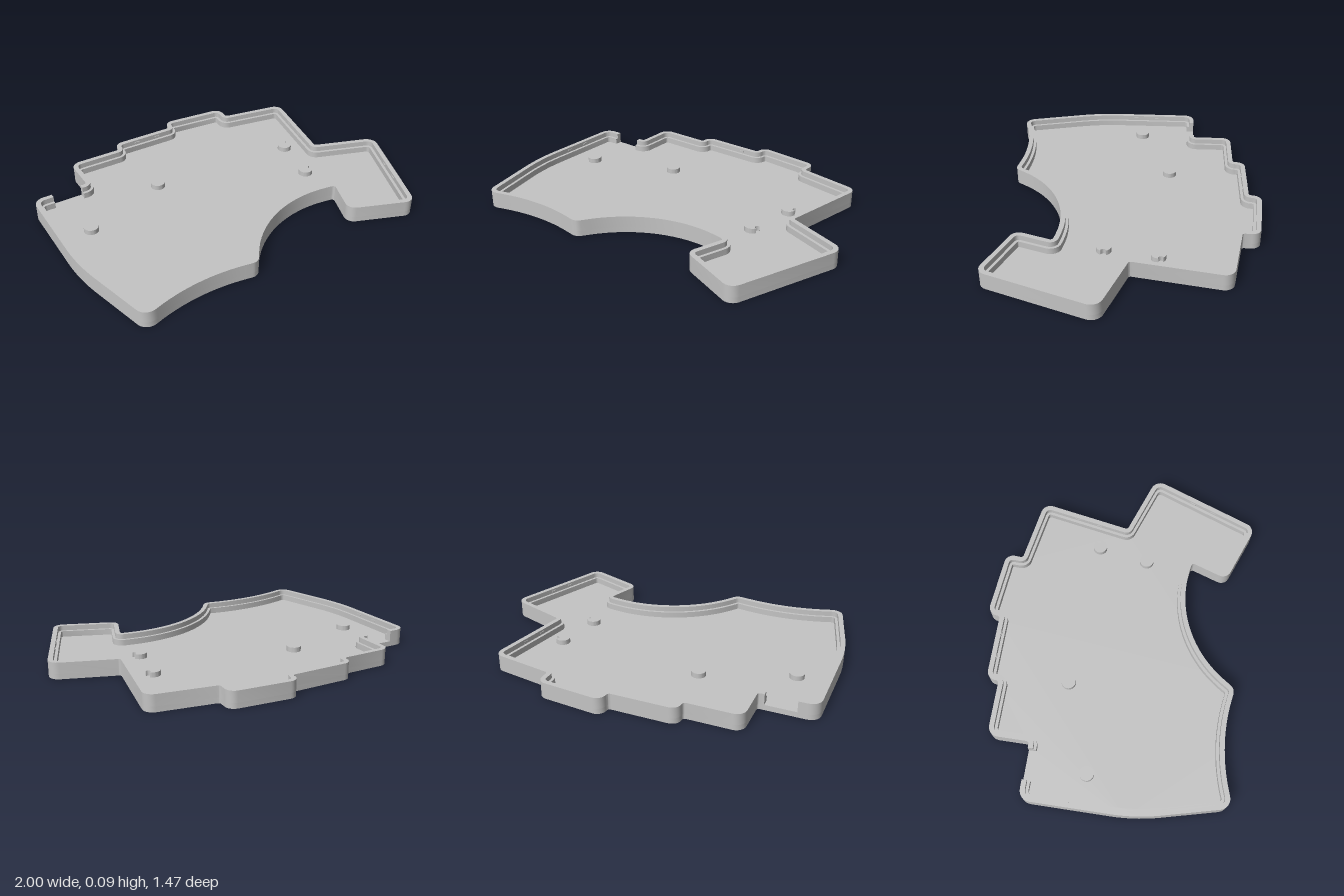
import * as THREE from 'three';
import { toCreasedNormals } from 'three/addons/utils/BufferGeometryUtils.js';

const HEIGHT = 0.093, FLOOR = 0.03, LEDGE = 0.064, POST = 0.058;
const RIM_WIDTH = 0.027, LEDGE_WIDTH = 0.043;

// Case outline as [x, z, corner radius], from one side of the port gap round to the other
const CORNERS = [
  [-0.72, -0.375, 0], [-0.685, -0.375, 0.015], [-0.685, -0.605, 0.055],
  [-0.375, -0.605, 0.015], [-0.375, -0.675, 0.05], [0, -0.675, 0.015],
  [0.01, -0.747, 0.05], [0.39, -0.712, 0.05], [0.385, -0.615, 0.015],
  [0.755, -0.553, 0.055], [0.66, -0.035, 0.015], [1.018, 0.09, 0.06],
  [0.78, 0.715, 0.055], [0.425, 0.58, 0.05], [0.497, 0.37, 0.015],
  [0.043, 0.297, 0.64], [-0.227, 0.692, 0.05], [-0.556, 0.637, 1.04],
  [-0.875, 0.745, 0.06], [-1, 0.25, 1.1], [-1, -0.375, 0.06], [-0.89, -0.375, 0],
];

// Replace each corner with a true arc
function roundedPath(corners) {
  const points = [];
  corners.forEach(([x, z, r], i) => {
    const p = new THREE.Vector2(x, z);
    if (r === 0) { points.push(p); return; }
    const a = new THREE.Vector2(...corners[i - 1]).sub(p).normalize();
    const b = new THREE.Vector2(...corners[i + 1]).sub(p).normalize();
    const half = Math.acos(a.dot(b)) / 2;
    const centre = a.clone().add(b).normalize().multiplyScalar(r / Math.sin(half)).add(p);
    const start = a.clone().multiplyScalar(r / Math.tan(half)).add(p).sub(centre);
    const turn = (Math.PI - 2 * half) * Math.sign(b.cross(a));
    const steps = Math.max(6, Math.ceil(Math.abs(turn) * r / 0.04));
    for (let k = 0; k <= steps; k++) {
      points.push(start.clone().rotateAround(new THREE.Vector2(), turn * k / steps).add(centre));
    }
  });
  return points;
}

// Shift the path towards the inside of the case
function inset(points, distance) {
  const normal = (p, q) => new THREE.Vector2(p.y - q.y, q.x - p.x).normalize();
  return points.map((p, i) => {
    const before = normal(points[Math.max(i - 1, 0)], i ? p : points[1]);
    const after = i < points.length - 1 ? normal(p, points[i + 1]) : before;
    const mid = before.clone().add(after).normalize();
    return mid.clone().multiplyScalar(distance / mid.dot(after)).add(p);
  });
}

// Upright slab from a plan outline
function slab(points, bottom, top) {
  const shape = new THREE.Shape(points.map((p) => new THREE.Vector2(p.x, -p.y)));
  const geometry = new THREE.ExtrudeGeometry(shape, { depth: top - bottom, bevelEnabled: false });
  geometry.rotateX(-Math.PI / 2).translate(0, bottom, 0);
  return toCreasedNormals(geometry, 0.5);
}

// Round post outline, optionally with a small bite out of its side
function postOutline(x, z, biteAngle) {
  const R = 0.04, bite = 0.015, points = [];
  const gap = biteAngle === null ? 0 : 0.37;
  const middle = biteAngle ?? 0;
  for (let i = 0; i < 32; i++) {
    const t = middle + gap + (2 * Math.PI - 2 * gap) * i / (gap ? 31 : 32);
    points.push(new THREE.Vector2(x + R * Math.cos(t), z + R * Math.sin(t)));
  }
  for (let i = 1; gap && i < 8; i++) {
    const t = middle - Math.PI / 2 - Math.PI * i / 8;
    points.push(new THREE.Vector2(
      x + R * 0.93 * Math.cos(middle) + bite * Math.cos(t),
      z + R * 0.93 * Math.sin(middle) + bite * Math.sin(t)));
  }
  return points;
}

export function createModel() {
  const group = new THREE.Group();
  const grey = new THREE.MeshStandardMaterial({ color: 0xc4c4c4 });
  grey.name = 'case grey';
  const add = (name, geometry) => {
    const mesh = new THREE.Mesh(geometry, grey);
    mesh.name = name;
    group.add(mesh);
    return mesh;
  };

  const outer = roundedPath(CORNERS);
  const step = inset(outer, RIM_WIDTH);
  const inner = inset(outer, LEDGE_WIDTH);

  // Floor plate, raised rim and the lower ledge inside it; both stop at the port gap
  add('floor', slab(outer, 0, FLOOR));
  add('rim', slab([...outer, ...step.slice().reverse()], FLOOR, HEIGHT));
  add('ledge', slab([...step, ...inner.slice().reverse()], FLOOR, LEDGE));

  // Support posts, two of them notched
  for (const [x, z, bite] of [[-0.803, -0.043, null], [-0.312, -0.225, null],
    [0.54, -0.18, -0.35], [0.49, 0.105, 0]]) {
    add('supportPost', slab(postOutline(x, z, bite), FLOOR, POST));
  }

  // Small snap bumps on the inside of the rim: [x, z, edge direction x, z]
  for (const [x, z, dx, dz] of [
    [-0.235, -0.648, 1, 0], [-0.1, -0.648, 1, 0],
    [-0.973, -0.125, 0, 1], [-0.973, 0.01, 0, 1],
    [0.69, -0.34, 0.095, -0.52], [0.665, -0.205, 0.095, -0.52],
    [0.897, 0.33, 0.238, -0.625], [0.85, 0.457, 0.238, -0.625]]) {
    const bump = add('snapBump', new THREE.BoxGeometry(0.032, 0.008, 0.008));
    bump.position.set(x, 0.078, z);
    bump.rotation.y = Math.atan2(-dz, dx);
  }
  return group;
}
